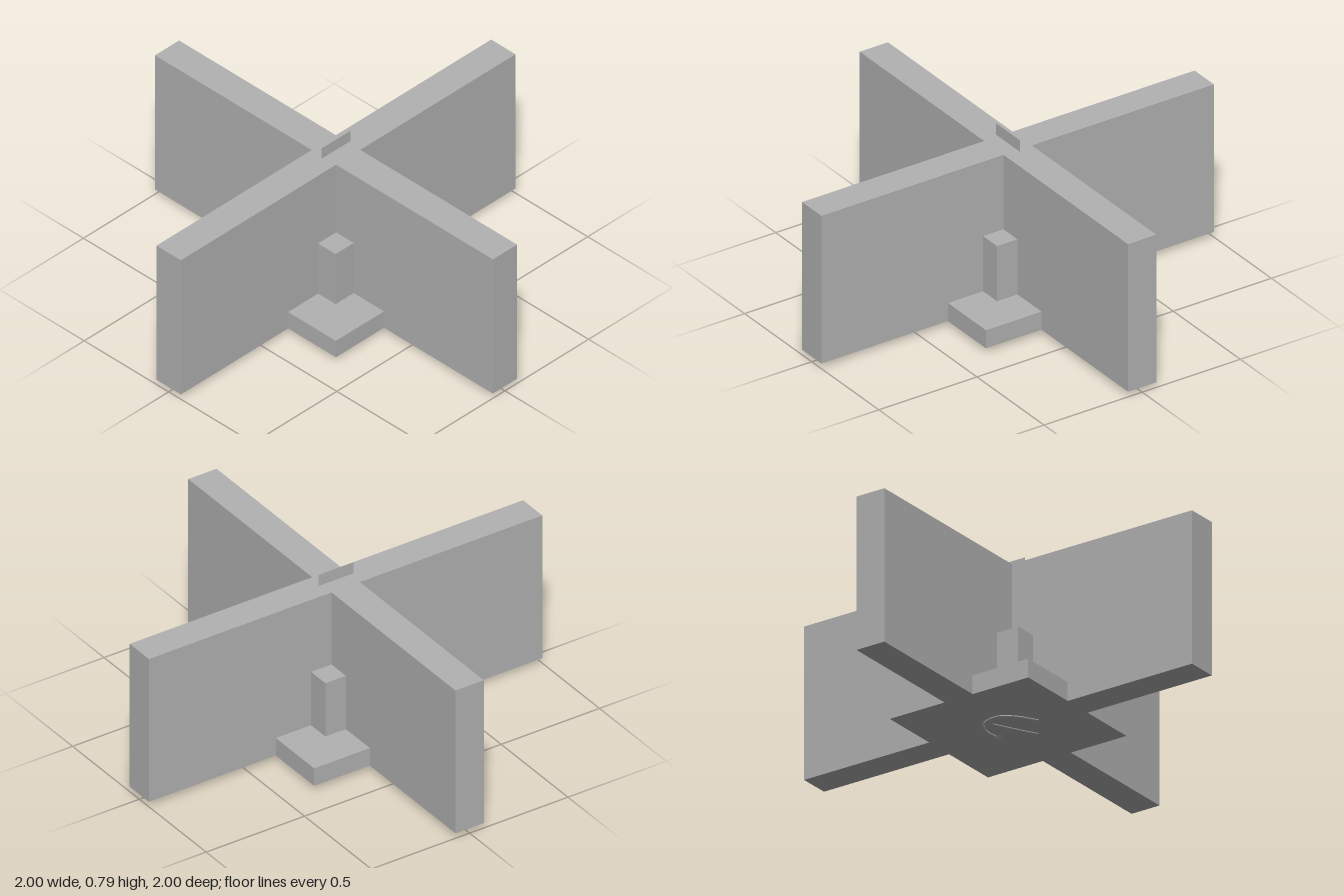
import * as THREE from 'three';

export function createModel() {
  const model = new THREE.Group();
  const grey = new THREE.MeshStandardMaterial({ color: 0xb2b2b2 });
  grey.name = 'grey';
  const greySheet = new THREE.MeshStandardMaterial({ color: 0xb2b2b2, side: THREE.DoubleSide });
  greySheet.name = 'grey sheet';

  const add = (name, geometry, material = grey) => {
    const mesh = new THREE.Mesh(geometry, material);
    mesh.name = name;
    model.add(mesh);
    return mesh;
  };
  const block = (name, half, y0, y1) =>
    add(name, new THREE.BoxGeometry(half * 2, y1 - y0, half * 2)).position.set(-0.002, (y0 + y1) / 2, -0.002);

  const bottom = 0.025, top = 0.737, t = 0.072;

  // Crossed walls: one plus-shaped outline raised to full height
  const plus = new THREE.Shape();
  for (let i = 0; i < 4; i++) {
    const c = Math.round(Math.cos(i * Math.PI / 2)), s = Math.round(Math.sin(i * Math.PI / 2));
    for (const [x, y] of [[t, -t], [1, -t], [1, t]]) {
      const p = [x * c - y * s, x * s + y * c];
      if (i === 0 && x === t) plus.moveTo(...p);
      else plus.lineTo(...p);
    }
  }
  plus.closePath();
  const walls = new THREE.ExtrudeGeometry(plus, { depth: top - bottom, bevelEnabled: false });
  walls.rotateX(-Math.PI / 2);
  add('crossedWalls', walls).position.y = bottom;

  // Stepped foot: wide plate and the square post standing on it
  block('basePlate', 0.357, bottom, 0.112);
  block('centrePost', 0.178, 0.112, 0.378);

  // Paper-thin tab standing on the crossing
  add('topTab', new THREE.PlaneGeometry(0.176, 0.055), greySheet).position.set(0, 0.7645, 0);

  // Shallow hooked ridge and straight ridge on the underside
  const ridge = (name, points, radius) => {
    const curve = new THREE.CatmullRomCurve3(points.map(p => new THREE.Vector3(...p)));
    add(name, new THREE.TubeGeometry(curve, 20, radius, 5));
  };
  ridge('undersideHook', [
    [-0.15, 0.024, 0.01], [-0.09, 0.024, -0.08], [-0.03, 0.024, -0.12],
    [0.05, 0.023, -0.1], [0.088, 0.021, -0.04], [0.085, 0.019, 0.03],
  ], 0.005);
  ridge('undersideRidge', [[0.03, 0.024, -0.07], [-0.02, 0.024, 0.03], [-0.07, 0.024, 0.12]], 0.004);

  // Small pointed nub at the end of the hook
  const nub = add('undersideNub', new THREE.ConeGeometry(0.022, 0.025, 4));
  nub.rotation.x = Math.PI;
  nub.position.set(0.08, 0.0125, 0.045);

  return model;
}
